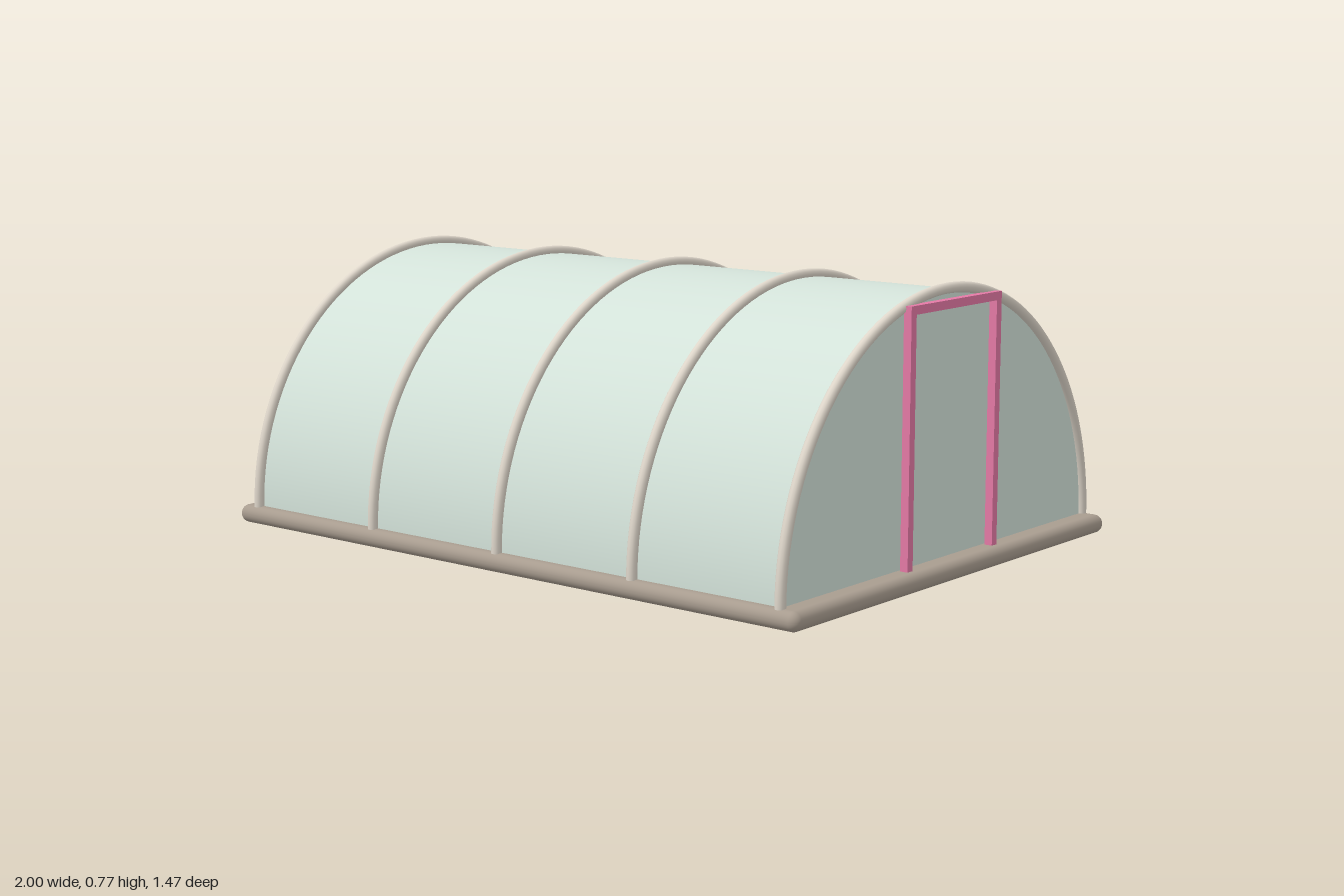
import * as THREE from 'three';
import { RoundedBoxGeometry } from 'three/addons/geometries/RoundedBoxGeometry.js';

const BASE_TOP = 0.05;
const HALF_LENGTH = 0.935;
const COVER_RADIUS = 0.703;
const RIB_RADIUS = 0.71;

export function createModel() {
  const model = new THREE.Group();
  const mat = (color, side = THREE.FrontSide) => new THREE.MeshStandardMaterial({ color, side });
  const baseMat = mat(0xa89c8f);
  const ribMat = mat(0xded6ca);
  const coverMat = mat(0xd3e2d9, THREE.DoubleSide);
  const doorMat = mat(0xe57aa6);

  const add = (parent, name, geometry, material, x = 0, y = 0, z = 0) => {
    const mesh = new THREE.Mesh(geometry, material);
    mesh.name = name;
    mesh.position.set(x, y, z);
    parent.add(mesh);
  };

  // Rounded foundation slab
  add(model, 'base', new RoundedBoxGeometry(2, 0.052, 1.47, 5, 0.0255), baseMat, 0, 0.026, 0);

  // Half-cylinder cover with closed ends
  const cover = new THREE.CylinderGeometry(COVER_RADIUS, COVER_RADIUS, HALF_LENGTH * 2, 64, 1, true, 0, Math.PI);
  cover.rotateZ(Math.PI / 2);
  add(model, 'cover', cover, coverMat, 0, BASE_TOP, 0);
  for (const side of [-1, 1]) {
    const wall = new THREE.CircleGeometry(COVER_RADIUS, 64, 0, Math.PI);
    wall.rotateY(side * Math.PI / 2);
    add(model, side > 0 ? 'leftEndWall' : 'rightEndWall', wall, coverMat, side * HALF_LENGTH, BASE_TOP, 0);
  }

  // Five arched ribs
  const rib = new THREE.TorusGeometry(RIB_RADIUS, 0.0145, 12, 64, Math.PI);
  rib.rotateY(Math.PI / 2);
  for (let i = -2; i <= 2; i++) {
    add(model, `rib${i + 3}`, rib, ribMat, i * HALF_LENGTH / 2, BASE_TOP, 0);
  }

  // Door frame on the left end
  const door = new THREE.Group();
  door.name = 'doorFrame';
  const top = 0.735;
  const bar = 0.023;
  const doorX = 0.954;
  for (const side of [-1, 1]) {
    add(door, side > 0 ? 'frontPost' : 'backPost', new THREE.BoxGeometry(bar, top - BASE_TOP, bar),
      doorMat, doorX, (top + BASE_TOP) / 2, side * 0.2);
  }
  add(door, 'lintel', new THREE.BoxGeometry(bar, bar, 0.423), doorMat, doorX, top - bar / 2, 0);
  model.add(door);

  return model;
}
